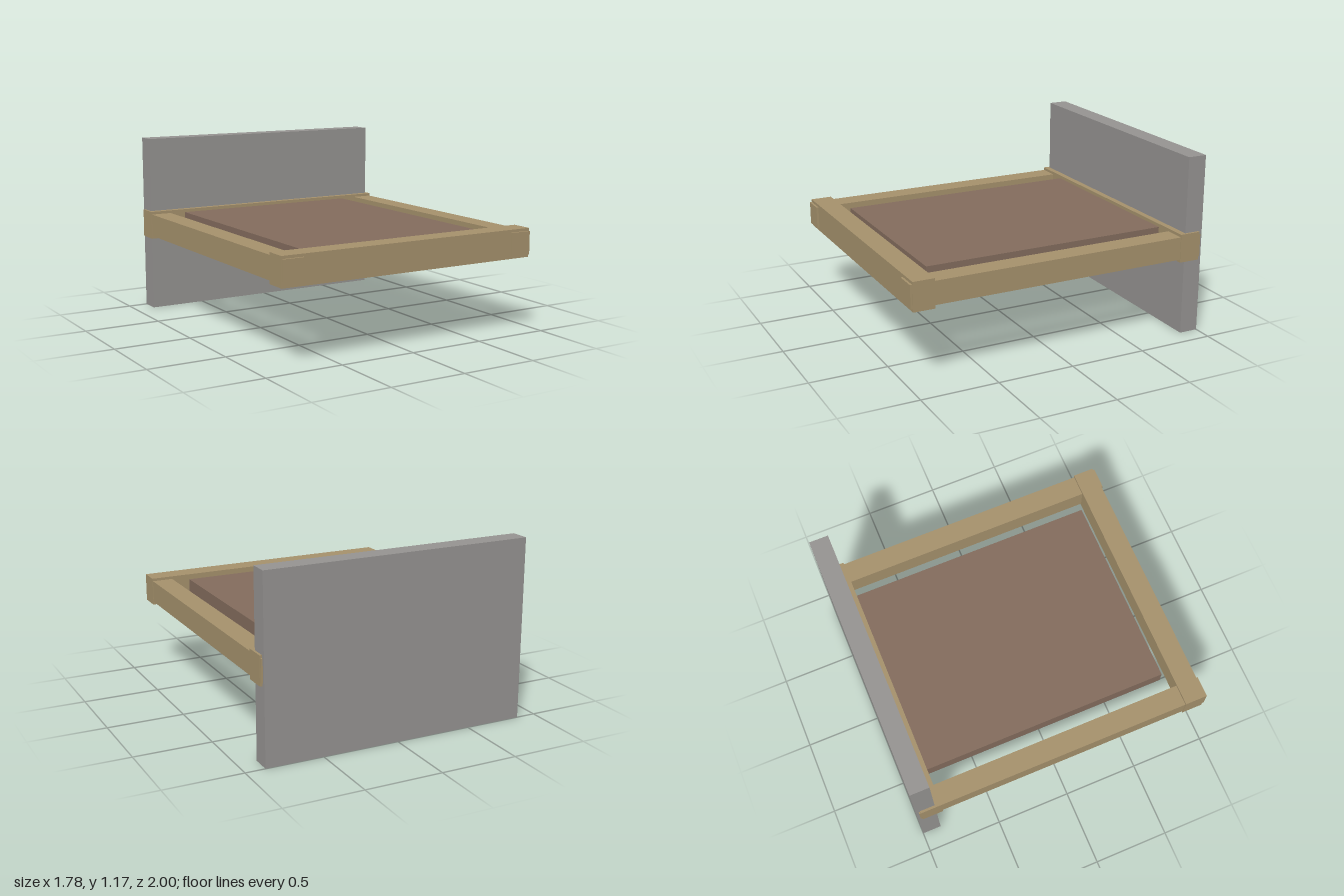
import * as THREE from 'three';

const wood = new THREE.MeshStandardMaterial({ color: 0xa5916c });
const stone = new THREE.MeshStandardMaterial({ color: 0x959391 });
const brown = new THREE.MeshStandardMaterial({ color: 0x836c5d });
wood.name = 'wood';
stone.name = 'greyBoard';
brown.name = 'brownPanel';
wood.flatShading = true;

// Box given by its minimum and maximum corners
function block(name, material, [x0, y0, z0], [x1, y1, z1]) {
  const mesh = new THREE.Mesh(new THREE.BoxGeometry(x1 - x0, y1 - y0, z1 - z0), material);
  mesh.position.set((x0 + x1) / 2, (y0 + y1) / 2, (z0 + z1) / 2);
  mesh.name = name;
  return mesh;
}

export function createModel() {
  const model = new THREE.Group();
  model.name = 'framedPlatform';

  // Upright board at the back
  model.add(block('backBoard', stone, [-0.873, 0, -1], [0.873, 1.17, -0.875]));

  // Cross rails, slightly taller than the side rails
  model.add(block('frontRail', wood, [-0.888, 0.492, 0.848], [0.888, 0.677, 0.986]));
  model.add(block('backRail', wood, [-0.888, 0.492, -0.973], [0.888, 0.677, -0.835]));

  // Side rails, whose ends pass through the cross rails
  model.add(block('leftRail', wood, [0.746, 0.511, -0.983], [0.884, 0.659, 1]));
  model.add(block('rightRail', wood, [-0.884, 0.511, -0.983], [-0.746, 0.659, 1]));

  // Panel inside the frame
  model.add(block('panel', brown, [-0.639, 0.537, -0.85], [0.639, 0.656, 0.795]));

  // Faceted knob under the panel
  const knob = new THREE.Mesh(new THREE.IcosahedronGeometry(0.081, 1), wood);
  knob.position.set(0.429, 0.481, -0.047);
  knob.name = 'knob';
  model.add(knob);

  return model;
}
